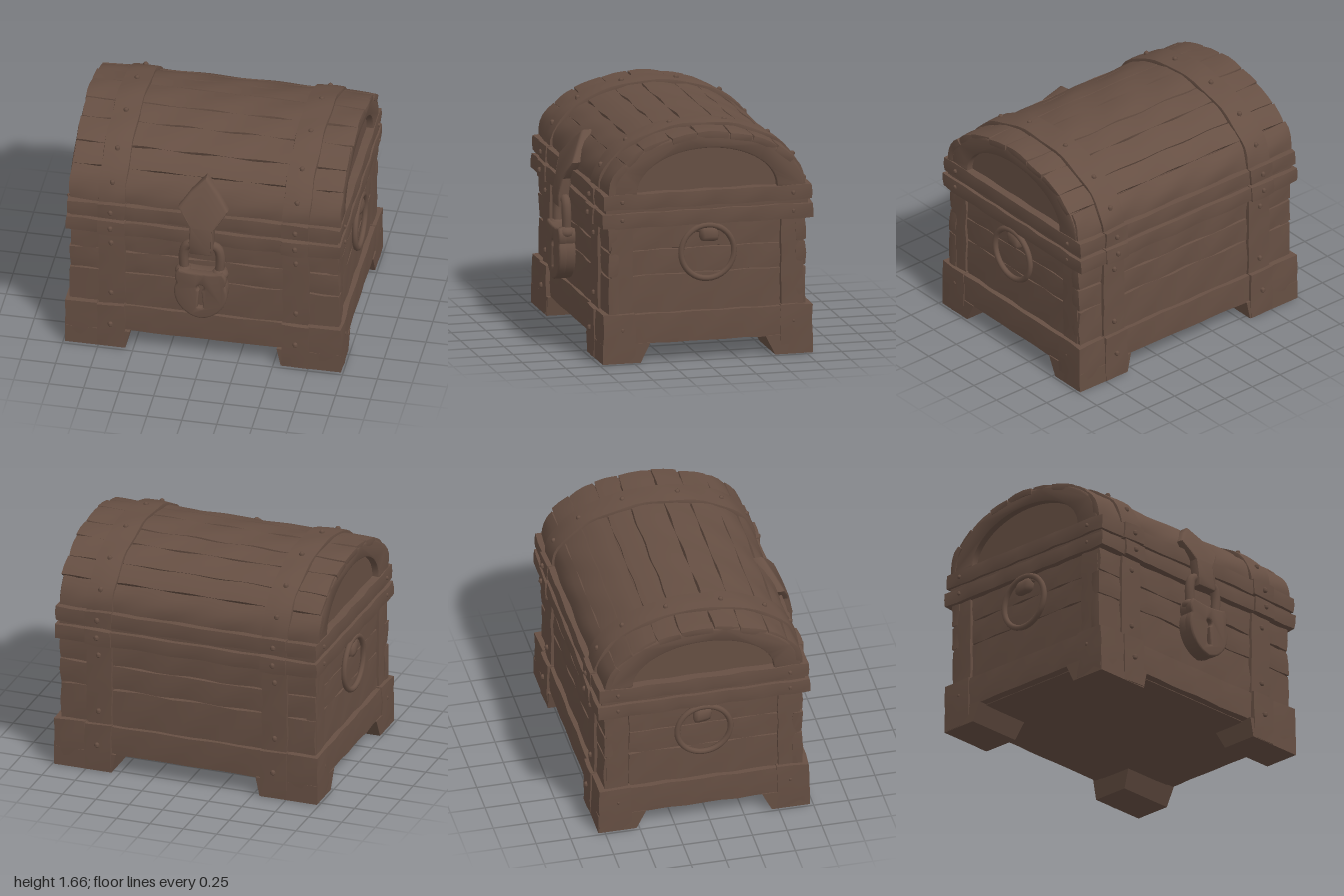
import * as THREE from 'three';
import { toCreasedNormals } from 'three/addons/utils/BufferGeometryUtils.js';

const ZC = -0.035;                       // middle of the chest, front to back
const LID = { y: 1.21, a: 0.715, b: 0.42 }; // elliptical lid arch

export function createModel() {
  const chest = new THREE.Group();
  chest.name = 'treasureChest';
  const wood = new THREE.MeshStandardMaterial({ color: 0x664f43 });
  wood.name = 'dark brown';

  let seed = 7;
  const rand = () => (seed = (seed * 16807) % 2147483647) / 2147483647;

  const add = (name, geo, crease = 0.65) => {
    const mesh = new THREE.Mesh(toCreasedNormals(geo, crease), wood);
    mesh.name = name;
    chest.add(mesh);
    return mesh;
  };

  // Moves every vertex by a rule
  const warp = (geo, rule) => {
    const p = geo.attributes.position, v = new THREE.Vector3();
    for (let i = 0; i < p.count; i++) {
      rule(v.fromBufferAttribute(p, i));
      p.setXYZ(i, v.x, v.y, v.z);
    }
    return geo;
  };

  // Box with softened edges and a gentle hand-hewn waviness
  const hewn = (w, h, d, r = 0.015, amp = 0.004, step = 0.12) => {
    const n = (s) => Math.max(2, Math.round(s / step));
    const half = new THREE.Vector3(w / 2 - r, h / 2 - r, d / 2 - r);
    const low = half.clone().negate(), core = new THREE.Vector3();
    const k = rand() * 20;
    return warp(new THREE.BoxGeometry(w, h, d, n(w), n(h), n(d)), (v) => {
      core.copy(v).clamp(low, half);
      v.sub(core).setLength(r).add(core);
      const { x, y, z } = v;
      v.x += amp * Math.sin(y * 23 + z * 17 + k);
      v.y += amp * Math.sin(x * 13 + z * 19 + k * 2);
      v.z += amp * Math.sin(x * 15 + y * 21 + k * 3);
    });
  };

  // Hewn box given by its limits
  const block = (name, x0, x1, y0, y1, z0, z1, r, amp) =>
    add(name, hewn(x1 - x0, y1 - y0, z1 - z0, r, amp))
      .position.set((x0 + x1) / 2, (y0 + y1) / 2, (z0 + z1) / 2);

  // Point on the lid arch at angle t (0 = front), raised by off
  const arch = (t, off) => {
    const c = Math.cos(t), s = Math.sin(t);
    const n = new THREE.Vector2(c / LID.a, s / LID.b).normalize();
    return { z: ZC + LID.a * c + n.x * off, y: LID.y + LID.b * s + n.y * off };
  };

  // Board bent along the lid arch
  const bent = (name, x0, x1, t0, t1, off0, off1, r, amp) => {
    const len = (t1 - t0) * 0.6;
    const geo = warp(hewn(x1 - x0, off1 - off0, len, r, amp, 0.07), (v) => {
      const q = arch(t0 + (0.5 - v.z / len) * (t1 - t0), (off0 + off1) / 2 + v.y);
      v.set(v.x + (x0 + x1) / 2, q.y, q.z);
    });
    add(name, geo);
  };

  const rivet = (x, y, z, r = 0.02) => {
    const m = add('rivet', new THREE.SphereGeometry(r, 7, 5), 1.2);
    m.position.set(x, y, z);
  };

  // Inner body
  block('bodyCore', -0.92, 0.92, 0.125, 1.2, -0.72, 0.65, 0.01, 0);

  // Wall planks
  const rows = [0.33, 0.62, 0.8, 0.98];
  for (let i = 0; i < 3; i++) {
    const y0 = rows[i], y1 = rows[i + 1];
    for (const [z0, z1] of [[0.6, 0.685], [-0.755, -0.67]]) {
      const e = 0.955 + rand() * 0.015;
      block('wallPlank', -e, e, y0, y1, z0, z1, 0.018, 0.005);
    }
    for (const s of [-1, 1]) {
      block('sidePlank', s * 0.925 - 0.02, s * 0.925 + 0.02, y0, y1, -0.57, 0.51, 0.012, 0.004);
    }
  }

  // Base skirt
  block('baseSkirt', -0.982, 0.982, 0.13, 0.35, -0.785, 0.705, 0.015, 0.003);

  for (const s of [-1, 1]) {
    const span = (a, b) => (s > 0 ? [a, b] : [-b, -a]);
    for (const f of [-1, 1]) {
      const zz = (a, b) => (f > 0 ? [ZC + a, ZC + b] : [ZC - b, ZC - a]);

      // Corner posts, corner blocks and feet that flare inward at the top
      block('cornerPost', ...span(0.88, 0.96), 0.33, 0.98, ...zz(0.535, 0.7), 0.012);
      block('cornerBlock', ...span(0.75, 0.992), 0.0, 0.36, ...zz(0.52, 0.763), 0.018, 0.004);
      const foot = warp(new THREE.BoxGeometry(0.43, 0.14, 0.275), (v) => {
        if (v.y > 0) {
          if (v.x * s < 0) v.x -= s * 0.03;
          if (v.z * f < 0) v.z -= f * 0.07;
        }
      });
      add('foot', foot).position.set(s * 0.77, 0.07, ZC + f * 0.625);

      // Straps on the walls and rims
      block('baseStrap', ...span(0.555, 0.76), 0.0, 0.36, ...zz(0.6, 0.772), 0.015);
      block('wallStrap', ...span(0.56, 0.755), 0.34, 0.98, ...zz(0.66, 0.742), 0.015);
      block('lowerRimStrap', ...span(0.555, 0.76), 0.962, 1.088, ...zz(0.7, 0.785), 0.015);
      block('upperRimStrap', ...span(0.555, 0.76), 1.095, 1.225, ...zz(0.7, 0.775), 0.015);
      for (const [y, d] of [[0.2, 0.773], [0.45, 0.742], [0.88, 0.742], [1.03, 0.786], [1.16, 0.776]]) {
        rivet(s * 0.66, y, ZC + f * d);
      }
      for (const y of [0.24, 1.03, 1.16]) rivet(s * 0.985, y, ZC + f * 0.62, 0.015);
    }

    // Lid strap with rivets
    bent('lidStrap', ...span(0.56, 0.758), 0, Math.PI, -0.02, 0.027, 0.012, 0.004);
    for (const t of [0.35, 0.8, 1.3, 1.85, 2.35, 2.8]) {
      const q = arch(t, 0.026);
      rivet(s * 0.66, q.y, q.z);
    }

    // Arched rim on the lid's end
    const rim = new THREE.Shape();
    rim.absellipse(0, 0, 0.69, 0.395, 0, Math.PI, false);
    rim.absellipse(0, 0, 0.52, 0.315, Math.PI, 0, true);
    rim.closePath();
    const rimGeo = new THREE.ExtrudeGeometry(rim, {
      depth: 0.07, bevelThickness: 0.015, bevelSize: 0.012, bevelSegments: 2, curveSegments: 28,
    }).rotateY(Math.PI / 2);
    add('lidEndRim', rimGeo).position.set(s * 0.92 - 0.035, LID.y, ZC);

    // Ring handle hanging from a knob
    const ring = add('handleRing', new THREE.TorusGeometry(0.192, 0.021, 8, 36), 1.2);
    ring.rotation.set(0, Math.PI / 2, 0);
    ring.position.set(s * 0.973, 0.77, ZC);
    const knob = add('handleKnob', hewn(0.09, 0.11, 0.14, 0.035, 0.006, 0.04), 1.2);
    knob.position.set(s * 0.953, 0.89, ZC - 0.01);
    rivet(s * 0.94, 0.94, ZC - 0.075, 0.03);
    rivet(s * 0.94, 0.935, ZC + 0.06, 0.03);
  }

  // Rims where lid and body meet
  block('lowerRim', -0.988, 0.988, 0.965, 1.083, -0.808, 0.735, 0.02, 0.004);
  block('upperRim', -0.983, 0.983, 1.098, 1.218, -0.797, 0.727, 0.02, 0.004);
  block('rimGap', -0.96, 0.96, 1.05, 1.13, -0.77, 0.7, 0.01, 0);

  // Lid core, which also closes the ends
  const dome = new THREE.Shape();
  dome.absellipse(0, 0, 0.68, 0.385, 0, Math.PI, false);
  dome.closePath();
  const domeGeo = new THREE.ExtrudeGeometry(dome, { depth: 1.84, bevelEnabled: false, curveSegments: 24 });
  add('lidCore', domeGeo.rotateY(Math.PI / 2)).position.set(-0.92, LID.y, ZC);

  // Lid planks, each bent to the arch between two seams
  const seams = [0.57, 0.43, 0.23, 0.04, -0.2, -0.37, -0.55, -0.67]
    .map((z) => Math.acos((z - ZC) / LID.a));
  const edges = [0, ...seams, Math.PI];
  for (let i = 0; i < edges.length - 1; i++) {
    const e0 = 0.962 + rand() * 0.024, e1 = 0.962 + rand() * 0.024;
    bent('lidPlank', -e0, e1, edges[i], edges[i + 1], -0.05, 0.002 + rand() * 0.008, 0.014, 0.004);
  }

  // Hasp: a diamond plate that follows the lid down to the lock
  const half = [[0.075, 0.94], [0.082, 1.02], [0.08, 1.14], [0.125, 1.2], [0.17, 1.27], [0.095, 1.37]];
  const hasp = new THREE.Shape([
    ...half.map(([x, y]) => new THREE.Vector2(x, y)),
    new THREE.Vector2(0, 1.455),
    ...half.map(([x, y]) => new THREE.Vector2(-x, y)).reverse(),
  ]);
  const path = [[0.9, 0.8], [1.05, 0.8], [1.15, 0.775], [1.25, 0.735], [1.37, 0.665], [1.48, 0.595]];
  const haspZ = (y) => {
    let i = 0;
    while (i < path.length - 2 && y > path[i + 1][0]) i++;
    const [y0, z0] = path[i], [y1, z1] = path[i + 1];
    return z0 + ((y - y0) / (y1 - y0)) * (z1 - z0);
  };
  const haspGeo = new THREE.ExtrudeGeometry(hasp, {
    depth: 0.05, bevelThickness: 0.015, bevelSize: 0.014, bevelOffset: -0.008, bevelSegments: 2,
  });
  add('hasp', warp(haspGeo, (v) => { v.z += haspZ(v.y) - 0.05; }));

  // Shackle
  const bow = new THREE.CatmullRomCurve3([
    [-0.125, 0.76], [-0.13, 0.92], [-0.105, 0.985], [0, 1.0], [0.105, 0.985], [0.13, 0.92], [0.125, 0.76],
  ].map(([x, y]) => new THREE.Vector3(x, y, 0.765)));
  add('shackle', new THREE.TubeGeometry(bow, 32, 0.034, 10), 1.2);

  // Padlock: solid back and a front plate with a keyhole
  const lockShape = () => {
    const s = new THREE.Shape();
    s.moveTo(-0.15, 0.785);
    s.quadraticCurveTo(0, 0.755, 0.15, 0.785);
    s.quadraticCurveTo(0.185, 0.75, 0.155, 0.69);
    s.bezierCurveTo(0.21, 0.6, 0.15, 0.44, 0, 0.415);
    s.bezierCurveTo(-0.15, 0.44, -0.21, 0.6, -0.155, 0.69);
    s.quadraticCurveTo(-0.185, 0.75, -0.15, 0.785);
    return s;
  };
  const keyhole = new THREE.Path();
  keyhole.moveTo(-0.035, 0.49);
  keyhole.quadraticCurveTo(0, 0.47, 0.035, 0.49);
  keyhole.lineTo(0.022, 0.625);
  keyhole.absarc(0, 0.66, 0.04, -0.9, Math.PI + 0.9, false);
  keyhole.closePath();
  const front = lockShape();
  front.holes.push(keyhole);
  const lockPart = (name, shape, z0, depth, bevel) => add(name, new THREE.ExtrudeGeometry(shape, {
    depth, bevelThickness: bevel, bevelSize: bevel, bevelSegments: 3, curveSegments: 12,
  })).position.set(0, 0, z0);
  lockPart('padlockBack', lockShape(), 0.722, 0.06, 0.012);
  lockPart('padlockFront', front, 0.785, 0.035, 0.014);
  for (const s of [-1, 1]) {
    const collar = add('shackleCollar', new THREE.SphereGeometry(0.062, 12, 8), 1.2);
    collar.scale.set(1, 0.75, 1);
    collar.position.set(s * 0.13, 0.765, 0.77);
  }

  return chest;
}
